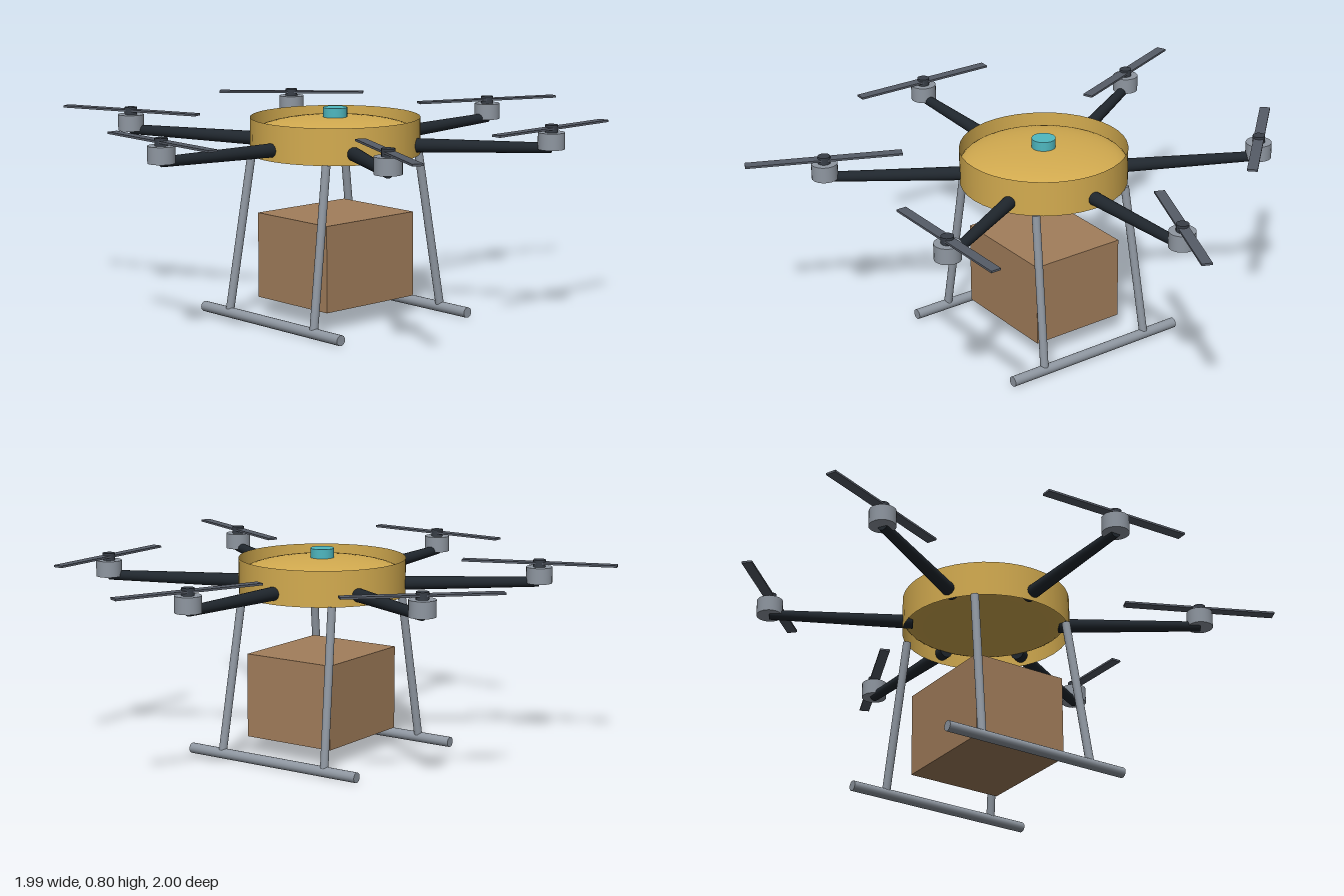
import * as THREE from 'three';

const mat = (name, color, side = THREE.FrontSide) => {
  const m = new THREE.MeshStandardMaterial({ color, side });
  m.name = name;
  return m;
};

export function createModel() {
  const gold = mat('gold shell', 0xd4ac50, THREE.DoubleSide);
  const teal = mat('teal', 0x4fb8c0);
  const carbon = mat('carbon black', 0x20272e);
  const metal = mat('light metal', 0x8f97a1);
  const bladeGrey = mat('blade grey', 0x565c67);
  const hubGrey = mat('hub grey', 0x383e47);
  const cardboard = mat('cardboard', 0xa27e5b);

  const model = new THREE.Group();
  model.name = 'hexacopter';
  // The rotor layout is off-centre because of the blade angles
  const drone = new THREE.Group();
  drone.name = 'drone';
  drone.position.x = -0.117;
  model.add(drone);

  const add = (parent, name, geometry, material, x = 0, y = 0, z = 0) => {
    const mesh = new THREE.Mesh(geometry, material);
    mesh.name = name;
    mesh.position.set(x, y, z);
    parent.add(mesh);
    return mesh;
  };

  // Round bar between two points
  const bar = (parent, name, a, b, rA, rB, material) => {
    const from = new THREE.Vector3(...a), to = new THREE.Vector3(...b);
    const dir = to.clone().sub(from);
    const mesh = add(parent, name, new THREE.CylinderGeometry(rB, rA, dir.length(), 16), material);
    mesh.position.copy(from).add(to).multiplyScalar(0.5);
    mesh.quaternion.setFromUnitVectors(new THREE.Vector3(0, 1, 0), dir.normalize());
    return mesh;
  };

  // Body: an open ring around a lens-shaped core
  add(drone, 'bodyRing', new THREE.CylinderGeometry(0.321, 0.321, 0.138, 40, 1, true), gold, 0, 0.698, 0);
  const core = new THREE.SphereGeometry(0.32, 40, 24);
  core.scale(1, 0.215, 1);
  add(drone, 'bodyCore', core, gold, 0, 0.698, 0);
  add(drone, 'antennaCap', new THREE.CylinderGeometry(0.046, 0.046, 0.05, 24), teal, 0, 0.777, 0);

  // Six arms, each with motor, hub and a two-ended propeller
  for (let k = 0; k < 6; k++) {
    const phi = (k - 1) * Math.PI / 3;
    const c = Math.cos(phi), s = -Math.sin(phi);
    const rotor = new THREE.Group();
    rotor.name = 'rotorArm' + (k + 1);
    drone.add(rotor);
    const tip = 0.829;
    bar(rotor, 'arm', [0.28 * c, 0.67, 0.28 * s], [tip * c, 0.684, tip * s], 0.027, 0.019, carbon);
    add(rotor, 'motor', new THREE.CylinderGeometry(0.05, 0.05, 0.062, 24), metal, tip * c, 0.711, tip * s);
    add(rotor, 'hub', new THREE.CylinderGeometry(0.024, 0.024, 0.03, 16), hubGrey, tip * c, 0.755, tip * s);
    const blade = add(rotor, 'propeller', new THREE.BoxGeometry(0.592, 0.008, 0.04), bladeGrey, tip * c, 0.757, tip * s);
    blade.rotation.y = -0.4 * k;
  }

  // Landing gear: two skids on splayed legs
  for (const sx of [-1, 1]) {
    bar(drone, sx > 0 ? 'leftSkid' : 'rightSkid',
      [sx * 0.327, 0.023, -0.385], [sx * 0.327, 0.023, 0.385], 0.02, 0.02, metal);
    for (const sz of [-1, 1]) {
      bar(drone, sz > 0 ? 'frontLeg' : 'rearLeg',
        [sx * 0.327, 0.023, sz * 0.238], [sx * 0.236, 0.63, sz * 0.208], 0.016, 0.016, metal);
    }
  }

  // Cargo box
  add(drone, 'cargoBox', new THREE.BoxGeometry(0.444, 0.326, 0.386), cardboard, 0, 0.238, 0.002);

  return model;
}
